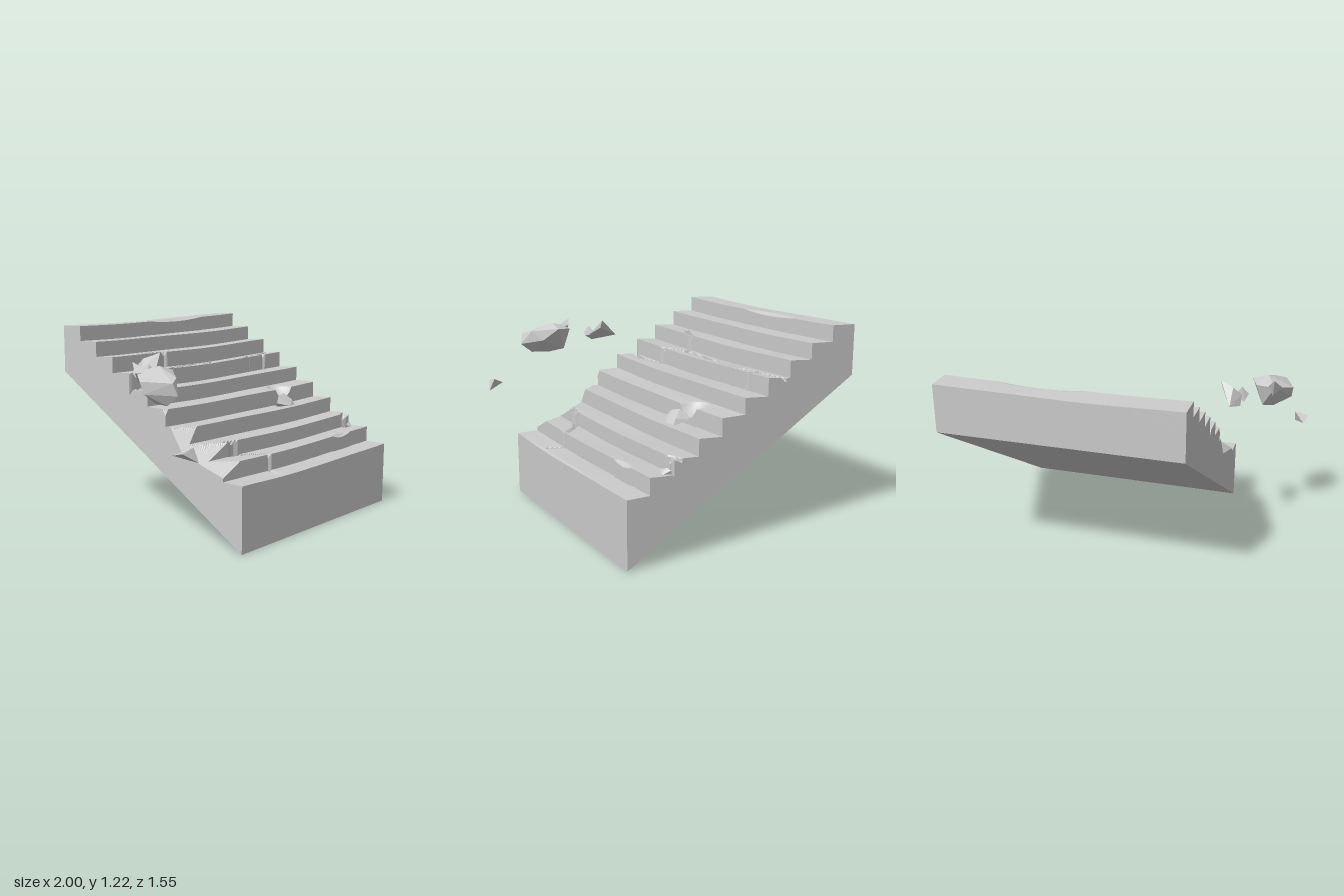
import * as THREE from 'three';
import { ConvexGeometry } from 'three/addons/geometries/ConvexGeometry.js';

const LEFT = -0.51, RIGHT = 1, FRONT = 0.735, BACK = -0.775, BACK_Y = 0.91;
const COLUMNS = 180, TREAD_CUTS = 16, RISER_CUTS = 5;

// Stair nosings: [z of the riser, height at the front, height at the back of the tread]
const steps = [
  [FRONT, 0.4, 0.4], [0.595, 0.5, 0.49], [0.445, 0.58, 0.57], [0.29, 0.67, 0.66], [0.14, 0.765, 0.765],
  [-0.01, 0.86, 0.85], [-0.165, 0.955, 0.94], [-0.315, 1.04, 1.03], [-0.465, 1.125, 1.12], [-0.615, 1.215, 1.21],
];

// Cracks as paths seen from above: [x, z]
const cracks = [
  [[-0.52, -0.155], [-0.345, -0.107], [-0.16, -0.155], [-0.105, -0.2], [0.03, -0.245], [0.19, -0.262], [0.27, -0.24], [0.35, -0.25]],
  [[-0.24, -0.44], [-0.2, -0.375], [-0.05, -0.32], [0, -0.24]],
  [[1.01, -0.275], [0.83, -0.225], [0.72, -0.257], [0.66, -0.21], [0.65, -0.18]],
  [[0.8, -0.24], [0.81, -0.17]],
  [[-0.3, 0.42], [-0.165, 0.48], [-0.08, 0.575], [-0.115, 0.69]],
  [[1.01, 0.41], [0.93, 0.44], [0.92, 0.47]],
];

// Worn nosings: x, riser z, half width, depth back, drop
const dents = [
  [0.65, 0.14, 0.09, 0.13, 0.07], [0.69, 0.595, 0.1, 0.03, 0.02], [0.38, -0.615, 0.26, 0.04, 0.016],
  [0.1, 0.735, 0.5, 0.02, 0.004], [0.96, 0.445, 0.05, 0.04, 0.03],
];

function distanceToPath(x, z, path) {
  let best = Infinity;
  for (let i = 0; i < path.length - 1; i++) {
    const [ax, az] = path[i], dx = path[i + 1][0] - ax, dz = path[i + 1][1] - az;
    const t = THREE.MathUtils.clamp(((x - ax) * dx + (z - az) * dz) / (dx * dx + dz * dz), 0, 1);
    best = Math.min(best, Math.hypot(x - ax - t * dx, z - az - t * dz));
  }
  return best;
}

// Closed side profile: z, y, dent weight and sag weight
function sideProfile() {
  const points = [];
  let low = 0;
  steps.forEach(([z, y, yBack], s) => {
    const zBack = s < steps.length - 1 ? steps[s + 1][0] : BACK;
    for (let i = 0; i < RISER_CUTS; i++) {
      const t = i / RISER_CUTS;
      points.push({ z, y: THREE.MathUtils.lerp(low, y, t), dent: t, sag: s ? 1 : t });
    }
    for (let i = 0; i <= TREAD_CUTS; i++) {
      const t = i / TREAD_CUTS;
      points.push({ z: THREE.MathUtils.lerp(z, zBack, t), y: THREE.MathUtils.lerp(y, yBack, t), dent: 1, sag: 1 });
    }
    low = yBack;
  });
  points.push({ z: BACK, y: BACK_Y, fixed: true }, { z: FRONT, y: 0, fixed: true });
  points[0].fixed = true;
  return points;
}

// Wear, broken corner and cracks at one point of the stair
function weather(x, p) {
  let { z, y } = p;
  if (p.fixed) return [x, y, z];
  const u = (x - LEFT) / (RIGHT - LEFT);
  y -= p.sag * (0.01 * Math.sin(Math.PI * u) + 0.003 * Math.sin(7 * u + 9 * z) * Math.sin(Math.PI * u));
  for (const [cx, cz, rx, rz, drop] of dents) {
    if (z > cz + 1e-6) continue;
    y -= p.dent * drop * Math.max(0, 1 - ((x - cx) / rx) ** 2 - ((z - cz) / rz) ** 2);
  }
  const inward = -0.77 * (x - LEFT) + 0.64 * (z - 0.13);
  const wall = 0.74 - 0.25 * (z - 0.13) - 2 * inward;
  const floor = Math.max(0.42, 0.42 + 0.3 * (0.6 - z) + 0.5 * (x - LEFT));
  y = Math.min(y, Math.max(wall, floor));
  const near = Math.min(...cracks.map((path) => distanceToPath(x, z, path)));
  const depth = 0.025 * THREE.MathUtils.clamp(1.5 - near / 0.011, 0, 1);
  return [x, y - depth, z - depth * 0.5];
}

function stairGeometry() {
  const profile = sideProfile(), n = profile.length;
  const positions = [], index = [];
  const quad = (a, b, c, d) => index.push(a, b, c, a, c, d);
  for (let j = 0; j <= COLUMNS; j++) {
    const x = THREE.MathUtils.lerp(LEFT, RIGHT, j / COLUMNS);
    for (const p of profile) positions.push(...weather(x, p));
  }
  for (let j = 0; j < COLUMNS; j++) {
    for (let i = 0; i < n - 1; i++) {
      const a = j * n + i;
      quad(a, a + n, a + n + 1, a + 1);
    }
  }
  // Flat sides, reaching from the step outline to the sloping underside
  for (const j of [0, COLUMNS]) {
    const first = positions.length / 3;
    for (let i = 0; i < n - 1; i++) {
      const k = (j * n + i) * 3, [x, y, z] = positions.slice(k, k + 3);
      positions.push(x, y, z, x, BACK_Y * (FRONT - z) / (FRONT - BACK), z);
    }
    for (let i = 0; i < n - 2; i++) {
      const t = first + i * 2;
      if (j) quad(t + 1, t + 3, t + 2, t);
      else quad(t, t + 2, t + 3, t + 1);
    }
  }
  const geometry = new THREE.BufferGeometry();
  geometry.setAttribute('position', new THREE.Float32BufferAttribute(positions, 3));
  geometry.setIndex(index);
  geometry.computeVertexNormals();
  return geometry;
}

// Broken stones, each the hull of a few corners
const stones = {
  largeFlyingStone: [
    [-0.83, 1.03, 0.23], [-0.93, 1.0, 0.36], [-0.92, 0.93, 0.38], [-0.86, 1.0, 0.54], [-0.84, 0.93, 0.56], [-0.84, 0.868, 0.48],
    [-0.81, 0.865, 0.36], [-0.75, 0.89, 0.28], [-0.67, 1.04, 0.35], [-0.73, 0.96, 0.44], [-0.77, 1.07, 0.35], [-0.71, 1.03, 0.25], [-0.79, 1.02, 0.5],
  ],
  largeStoneSpur: [
    [-0.83, 1.085, 0.2], [-0.87, 1.03, 0.26], [-0.79, 1.04, 0.22], [-0.82, 0.97, 0.24], [-0.8, 1.03, 0.32],
  ],
  middleFlyingStone: [
    [-0.6, 0.98, -0.05], [-0.51, 1.1, 0.1], [-0.52, 1.05, 0.11], [-0.65, 1.02, 0.09], [-0.6, 1.0, 0.15],
    [-0.63, 0.957, 0.13], [-0.65, 0.96, 0.04], [-0.6, 1.07, 0.05],
  ],
  middleStoneSpur: [
    [-0.68, 1.0, 0.16], [-0.61, 0.99, 0.18], [-0.64, 1.05, 0.14], [-0.66, 0.96, 0.12], [-0.6, 1.0, 0.1],
  ],
  smallFlyingStone: [
    [-0.98, 0.645, 0.65], [-1, 0.67, 0.74], [-0.91, 0.69, 0.735], [-0.91, 0.612, 0.773], [-0.94, 0.63, 0.73],
  ],
  stoneOnStep: [
    [0.5, 0.68, 0.2], [0.58, 0.655, 0.25], [0.65, 0.655, 0.24], [0.66, 0.68, 0.12], [0.54, 0.72, 0.18],
    [0.61, 0.735, 0.17], [0.64, 0.69, 0.22], [0.52, 0.65, 0.18],
  ],
  chipOnStep: [
    [0.92, 0.51, 0.48], [0.95, 0.48, 0.51], [0.99, 0.515, 0.46], [0.98, 0.48, 0.45], [0.96, 0.525, 0.47], [0.93, 0.48, 0.46],
  ],
};

export function createModel() {
  const group = new THREE.Group();
  group.name = 'brokenStaircase';
  const material = new THREE.MeshStandardMaterial({ color: 0xcccccc, flatShading: true });
  const add = (name, geometry) => {
    const mesh = new THREE.Mesh(geometry, material);
    mesh.name = name;
    group.add(mesh);
  };
  add('stairFlight', stairGeometry());
  for (const [name, corners] of Object.entries(stones)) {
    add(name, new ConvexGeometry(corners.map((c) => new THREE.Vector3(...c))));
  }
  return group;
}
